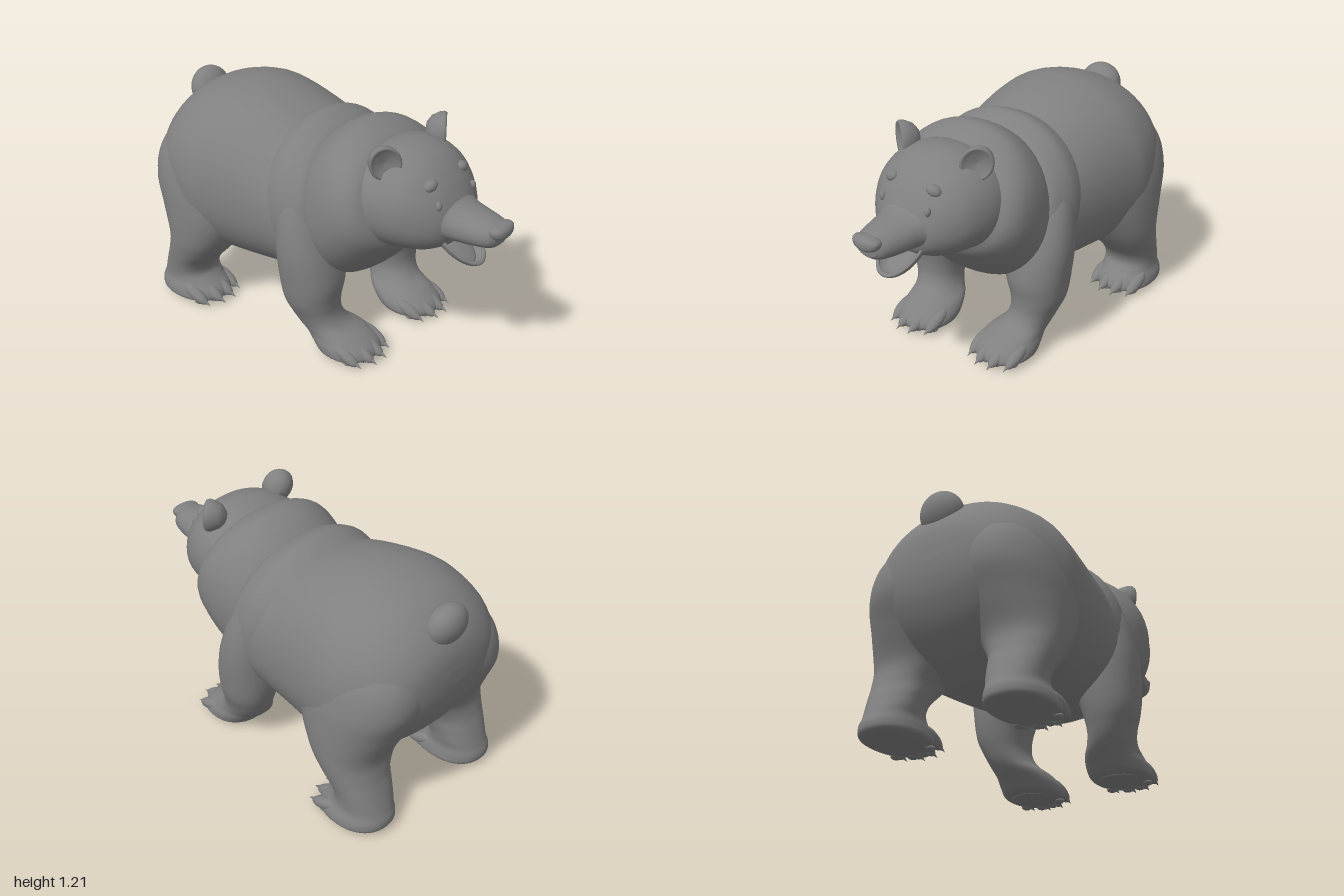
import * as THREE from 'three';

const material = new THREE.MeshStandardMaterial({ color: 0x808080 });
const openMaterial = new THREE.MeshStandardMaterial({ color: 0x808080, side: THREE.DoubleSide });

const spow = (v, e) => Math.sign(v) * Math.pow(Math.abs(v), e);

// Smooth (Catmull-Rom) interpolation through a list of cross-section records
function sample(rings, t) {
  const n = rings.length - 1;
  const i = Math.min(Math.floor(t * n), n - 1);
  const f = t * n - i;
  const [a, b, c, d] = [-1, 0, 1, 2].map(k => rings[Math.min(Math.max(i + k, 0), n)]);
  return b.map((p, k) => p + 0.5 * f * (c[k] - a[k]
    + f * (2 * a[k] - 5 * p + 4 * c[k] - d[k] + f * (3 * (p - c[k]) + d[k] - a[k]))));
}

// Closed loft: point(ring, angle) gives the outline of one cross-section
function loft(rings, point, steps = 6, sides = 48) {
  const rows = (rings.length - 1) * steps;
  const pos = [], index = [];
  for (let i = 0; i <= rows; i++) {
    const ring = sample(rings, i / rows);
    for (let j = 0; j < sides; j++) pos.push(...point(ring, j / sides * Math.PI * 2));
  }
  for (let i = 0; i < rows; i++) for (let j = 0; j < sides; j++) {
    const k = (j + 1) % sides;
    const a = i * sides + j, b = a + sides, c = i * sides + k, d = c + sides;
    index.push(a, b, c, b, d, c);
  }
  // End caps
  for (const [row, first] of [[0, true], [rows, false]]) {
    const ring = sample(rings, row / rows);
    const p = point(ring, 0), q = point(ring, Math.PI);
    const centre = pos.length / 3;
    pos.push(...p.map((v, k) => (v + q[k]) / 2));
    for (let j = 0; j < sides; j++) {
      const a = row * sides + j, b = row * sides + (j + 1) % sides;
      index.push(centre, ...(first ? [a, b] : [b, a]));
    }
  }
  const geo = new THREE.BufferGeometry();
  geo.setAttribute('position', new THREE.Float32BufferAttribute(pos, 3));
  geo.setIndex(index);
  geo.computeVertexNormals();
  return geo;
}

// Sections along z, slightly wider below: [z at top, z at bottom, bottom y, top y, half width]
const alongZ = ([zt, zb, yb, yt, hw], a) => {
  const v = -spow(Math.sin(a), 0.92);
  return [hw * spow(Math.cos(a), 0.92) * (1 - 0.06 * v),
    (yb + yt) / 2 + v * (yt - yb) / 2, (zt + zb) / 2 + v * (zt - zb) / 2];
};
// Sections along y: [y, back z, front z, inner x, outer x]
const alongY = side => ([y, z0, z1, x0, x1], a) => [
  side * (x0 + x1) / 2 + spow(Math.cos(a), 0.9) * (x1 - x0) / 2, y,
  (z0 + z1) / 2 + spow(Math.sin(a), 0.9) * (z1 - z0) / 2];
const upright = rows => rows.map(([z, ...rest]) => [z, z, ...rest]);

function add(group, name, geo, mat = material) {
  const mesh = new THREE.Mesh(geo, mat);
  mesh.name = name;
  group.add(mesh);
  return mesh;
}
function ellipsoid(group, name, x, y, z, rx, ry, rz) {
  const mesh = add(group, name, new THREE.SphereGeometry(1, 28, 20));
  mesh.position.set(x, y, z);
  mesh.scale.set(rx, ry, rz);
  return mesh;
}

const FRONT_LEG = [
  [0.012, 0.17, 0.38, 0.16, 0.36], [0.03, 0.12, 0.43, 0.115, 0.41], [0.07, 0.08, 0.42, 0.108, 0.415],
  [0.115, 0.035, 0.36, 0.13, 0.405], [0.16, 0, 0.27, 0.175, 0.41], [0.22, -0.03, 0.23, 0.195, 0.43],
  [0.3, -0.06, 0.225, 0.185, 0.46], [0.42, -0.085, 0.235, 0.15, 0.475], [0.6, -0.1, 0.2, 0.13, 0.48],
  [0.8, -0.11, 0.13, 0.1, 0.44], [0.98, -0.13, 0.05, 0.05, 0.34], [1.07, -0.12, 0.0, 0.05, 0.23]];
const HIND_LEG = [
  [0.012, -0.86, -0.58, 0.25, 0.46], [0.03, -0.92, -0.54, 0.2, 0.505], [0.07, -0.93, -0.55, 0.2, 0.505],
  [0.115, -0.915, -0.6, 0.21, 0.487], [0.16, -0.9, -0.63, 0.205, 0.485], [0.22, -0.88, -0.61, 0.195, 0.492],
  [0.3, -0.855, -0.54, 0.17, 0.507], [0.4, -0.85, -0.46, 0.1, 0.52], [0.55, -0.915, -0.37, 0.02, 0.52],
  [0.7, -0.975, -0.34, 0, 0.505], [0.85, -0.96, -0.38, 0, 0.46], [1.0, -0.87, -0.5, 0.03, 0.35]];

// Leg with toes, claws and pads under the paw
function leg(name, rings, side, x, toeZ, padZ) {
  const group = new THREE.Group();
  group.name = name;
  add(group, 'limb', loft(rings, alongY(side)));
  ellipsoid(group, 'pawPad', side * x, 0.016, padZ, 0.105, 0.014, 0.085);
  for (let i = 0; i < 4; i++) {
    const u = (i - 1.5) * 0.076;
    const z = toeZ - 3.5 * u * u;
    const toe = ellipsoid(group, 'toe', side * x + u, 0.065, z - 0.05, 0.034, 0.032, 0.09);
    toe.rotation.x = 0.4;
    ellipsoid(group, 'toePad', side * x + u * 0.9, 0.016, z - 0.035, 0.025, 0.014, 0.028);
    const claw = add(group, 'claw', new THREE.ConeGeometry(0.026, 0.1, 14));
    claw.position.set(side * x + u, 0.042, z + 0.015);
    claw.rotation.x = Math.PI / 2 + 0.35;
  }
  return group;
}

export function createModel() {
  const bear = new THREE.Group();
  bear.name = 'bear';

  // Barrel body, then the overlapping shoulder band and neck ruff
  add(bear, 'torso', loft(upright([
    [-0.995, 0.76, 0.84, 0.07], [-0.983, 0.67, 0.925, 0.2], [-0.95, 0.57, 1.0, 0.31], [-0.88, 0.455, 1.085, 0.4],
    [-0.77, 0.35, 1.155, 0.47], [-0.6, 0.285, 1.2, 0.508], [-0.45, 0.28, 1.195, 0.492], [-0.3, 0.29, 1.165, 0.47],
    [-0.15, 0.31, 1.115, 0.453], [0, 0.33, 1.065, 0.435], [0.1, 0.36, 0.98, 0.38], [0.2, 0.43, 0.88, 0.27]]), alongZ));
  add(bear, 'shoulderBand', loft([
    [-0.21, -0.04, 0.36, 1.1, 0.425], [-0.16, 0, 0.345, 1.128, 0.444], [-0.09, 0.06, 0.342, 1.152, 0.449],
    [-0.02, 0.13, 0.352, 1.135, 0.437], [0.04, 0.19, 0.37, 1.1, 0.41], [0.1, 0.24, 0.43, 1.02, 0.33]], alongZ));
  add(bear, 'neckRuff', loft([
    [-0.02, 0.02, 0.35, 1.07, 0.34], [0.03, 0.14, 0.352, 1.115, 0.39], [0.1, 0.25, 0.395, 1.16, 0.41],
    [0.18, 0.35, 0.475, 1.183, 0.414], [0.26, 0.42, 0.555, 1.165, 0.402], [0.32, 0.47, 0.61, 1.135, 0.365],
    [0.36, 0.5, 0.66, 1.09, 0.3]], alongZ));

  const tail = ellipsoid(bear, 'tail', 0, 1.045, -0.908, 0.118, 0.112, 0.082);
  tail.rotation.x = -0.3;

  // Head
  const head = new THREE.Group();
  head.name = 'head';
  bear.add(head);
  add(head, 'skull', loft(upright([
    [0.25, 0.69, 1.1, 0.29], [0.35, 0.65, 1.14, 0.324], [0.45, 0.64, 1.15, 0.325], [0.55, 0.65, 1.125, 0.3],
    [0.62, 0.66, 1.08, 0.262], [0.68, 0.685, 1.015, 0.21], [0.72, 0.715, 0.95, 0.155], [0.745, 0.77, 0.9, 0.08]]), alongZ));
  add(head, 'muzzle', loft(upright([
    [0.6, 0.735, 1.0, 0.22], [0.68, 0.74, 0.97, 0.175], [0.74, 0.745, 0.93, 0.14], [0.81, 0.75, 0.912, 0.124],
    [0.89, 0.757, 0.9, 0.106], [0.94, 0.767, 0.888, 0.085], [0.962, 0.785, 0.865, 0.055]]), alongZ));

  // Nose, wider at the top
  const noseGeo = new THREE.SphereGeometry(1, 32, 20);
  const p = noseGeo.attributes.position;
  for (let i = 0; i < p.count; i++) {
    const x = p.getX(i), y = p.getY(i), z = p.getZ(i);
    p.setXYZ(i, spow(x, 0.85) * (1 + 0.2 * y), spow(y, 0.8), spow(z, 0.85));
  }
  noseGeo.scale(0.076, 0.037, 0.045);
  noseGeo.computeVertexNormals();
  add(head, 'nose', noseGeo).position.set(0, 0.853, 0.955);

  // Open lower jaw: scoop, lip rim and tongue
  const jaw = new THREE.Group();
  jaw.name = 'lowerJaw';
  jaw.position.set(0, 0.74, 0.718);
  jaw.rotation.x = 0.62;
  head.add(jaw);
  const scoop = add(jaw, 'jawScoop', new THREE.SphereGeometry(1, 40, 14, 0, Math.PI * 2, Math.PI / 2, Math.PI / 2), openMaterial);
  scoop.scale.set(0.115, 0.07, 0.182);
  const lip = add(jaw, 'lip', new THREE.TorusGeometry(1, 0.07, 10, 48).rotateX(Math.PI / 2));
  lip.scale.set(0.108, 0.12, 0.172);
  ellipsoid(jaw, 'tongue', 0, -0.035, 0.02, 0.075, 0.018, 0.13);

  // Cupped ears, brows, eyes
  const earProfile = [[0, -0.07], [0.035, -0.065], [0.066, -0.042], [0.084, -0.005], [0.088, 0.02], [0.083, 0.032],
    [0.073, 0.03], [0.05, 0.016], [0, 0.008]].map(q => new THREE.Vector2(...q));
  for (const s of [1, -1]) {
    const ear = add(head, s > 0 ? 'leftEar' : 'rightEar', new THREE.LatheGeometry(earProfile, 36).rotateX(Math.PI / 2), openMaterial);
    ear.position.set(s * 0.22, 1.122, 0.44);
    ear.rotation.set(0, s * 0.6, s * -0.45);
    ear.scale.set(0.9, 1.04, 1);
    const brow = ellipsoid(head, 'brow', s * 0.128, 1.028, 0.64, 0.039, 0.028, 0.026);
    brow.rotation.set(-0.6, s * 0.4, s * -0.15);
    const eye = ellipsoid(head, 'eye', s * 0.137, 0.943, 0.697, 0.016, 0.024, 0.018);
    eye.rotation.y = s * 0.5;

    const label = s > 0 ? 'left' : 'right';
    bear.add(leg(label + 'FrontLeg', FRONT_LEG, s, 0.262, 0.43, 0.24));
    bear.add(leg(label + 'HindLeg', HIND_LEG, s, 0.353, -0.535, -0.74));
  }
  return bear;
}
